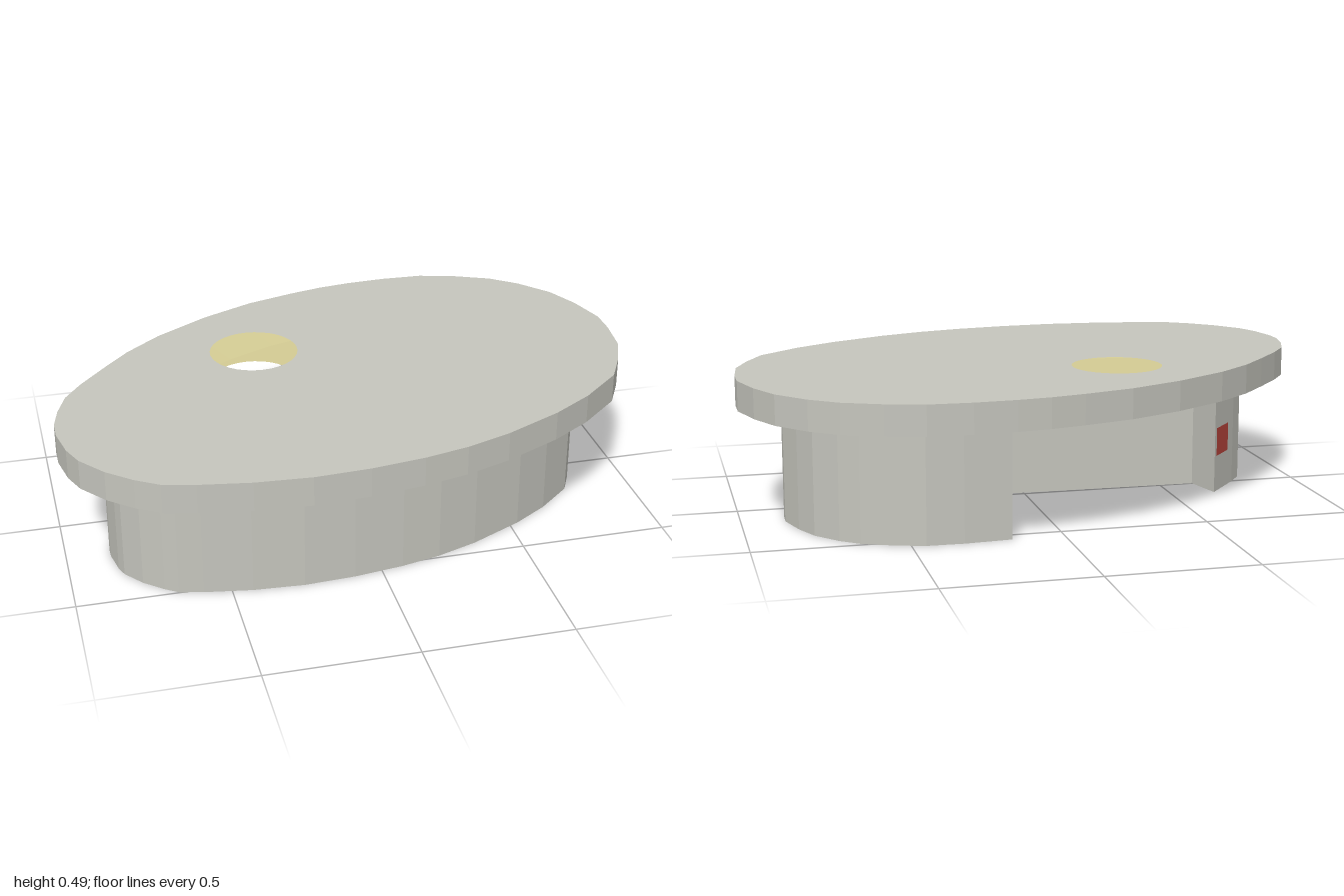
import * as THREE from 'three';

const TOP = 0.485, RIM = 0.385, UNDER = 0.37, INSET = 0.147;

// Lid outline as x, z pairs, clockwise seen from above
const OUTLINE = [
  0.33, -0.71, 0.475, -0.705, 0.6, -0.67, 0.725, -0.615, 0.815, -0.545, 0.905, -0.44,
  0.96, -0.325, 1, -0.19, 1, -0.095, 0.985, 0.04, 0.94, 0.155, 0.88, 0.267,
  0.74, 0.39, 0.6, 0.48, 0.405, 0.575, 0.25, 0.63, 0.1, 0.665, -0.08, 0.69,
  -0.265, 0.7, -0.45, 0.688, -0.62, 0.66, -0.725, 0.633, -0.8, 0.585, -0.88, 0.515,
  -0.95, 0.425, -0.98, 0.35, -1, 0.245, -1, 0.175, -0.98, 0.085, -0.945, -0.01,
  -0.885, -0.095, -0.795, -0.2, -0.7, -0.305, -0.575, -0.41, -0.39, -0.525, -0.205, -0.61,
  -0.035, -0.66, 0.08, -0.687, 0.19, -0.702,
];
const LAST_WALL_POINT = 31; // the wall leaves the outline here for the notch

const material = (name, color) =>
  new THREE.MeshStandardMaterial({ name, color, side: THREE.DoubleSide });

// Moves every point of a closed loop inward along its normal
function insetLoop(loop, d) {
  return loop.map((p, i) => {
    const a = loop[(i + loop.length - 1) % loop.length], b = loop[(i + 1) % loop.length];
    const t = b.clone().sub(a).normalize();
    return new THREE.Vector2(p.x - t.y * d, p.y + t.x * d);
  });
}

// Flat-faced strip between a lower and an upper loop of x, z points
function band(lower, y0, upper, y1, closed = true) {
  const pos = [], n = lower.length;
  for (let i = 0; i < (closed ? n : n - 1); i++) {
    const j = (i + 1) % n;
    const a = [lower[i].x, y0, lower[i].y], b = [lower[j].x, y0, lower[j].y];
    const c = [upper[i].x, y1, upper[i].y], d = [upper[j].x, y1, upper[j].y];
    pos.push(...a, ...c, ...b, ...b, ...c, ...d);
  }
  const g = new THREE.BufferGeometry();
  g.setAttribute('position', new THREE.Float32BufferAttribute(pos, 3));
  g.computeVertexNormals();
  return g;
}

// Horizontal sheet with the round hole, facing up or down
function sheet(loop, y, up) {
  const s = up ? -1 : 1;
  const shape = new THREE.Shape(loop.map((p) => new THREE.Vector2(p.x, s * p.y)));
  const hole = new THREE.Path();
  hole.absarc(-0.27, s * -0.21, 0.153, 0, Math.PI * 2);
  shape.holes.push(hole);
  return new THREE.ShapeGeometry(shape, 16).rotateX(s * Math.PI / 2).translate(0, y, 0);
}

export function createModel() {
  const gray = material('warm gray', 0xc6c6be);
  const khaki = material('khaki', 0xd4cc94);
  const red = material('red', 0xb8443c);
  const group = new THREE.Group();
  const add = (name, geometry, mat) => {
    const mesh = new THREE.Mesh(geometry, mat);
    mesh.name = name;
    group.add(mesh);
  };

  const outline = [];
  for (let i = 0; i < OUTLINE.length; i += 2) outline.push(new THREE.Vector2(OUTLINE[i], OUTLINE[i + 1]));
  const inner = insetLoop(outline, INSET);

  // Hollow lid: top sheet, rim, sloped lip and underside
  add('lidTop', sheet(outline, TOP, true), gray);
  add('lidRim', band(outline, RIM, outline, TOP), gray);
  add('lidLip', band(inner, UNDER, outline, RIM), khaki);
  add('lidUnderside', sheet(inner, UNDER, false), khaki);

  // Thin skirt wall, stepping inward around the hole
  const notchEnd = new THREE.Vector2(-0.655, -0.137);
  const wall = [
    new THREE.Vector2(0.174, -0.552),
    ...inner.slice(0, LAST_WALL_POINT + 1),
    notchEnd,
    new THREE.Vector2(-0.62, 0),
    new THREE.Vector2(0.073, 0.015),
  ];
  add('skirtWall', band(wall, 0, wall, UNDER), gray);

  // Small red marker beside the notch
  const corner = inner[LAST_WALL_POINT];
  const marker = [
    inner[LAST_WALL_POINT - 1].clone().lerp(corner, 0.46),
    corner.clone(),
    notchEnd.clone().lerp(corner, 0.15),
  ].map((p) => p.add(new THREE.Vector2(-0.003, -0.003)));
  add('redMarker', band(marker, 0.13, marker, 0.23, false), red);

  return group;
}
